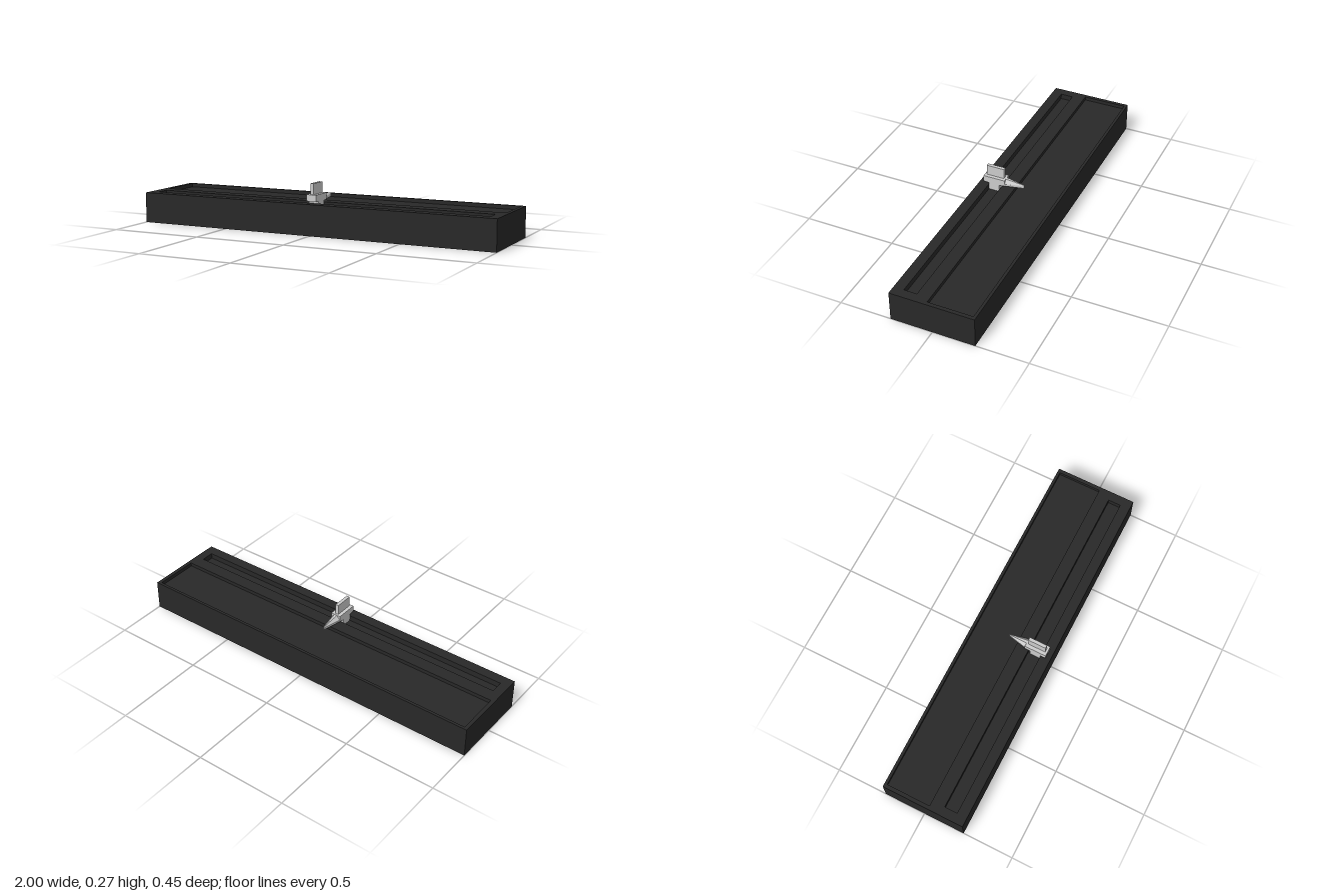
import * as THREE from 'three';

const H = 0.163, W = 2, D = 0.45;

// Box without its top face; inward = true turns it into a pocket
function openBox(x0, x1, y0, y1, z0, z1, inward) {
  const g = new THREE.BoxGeometry(x1 - x0, y1 - y0, z1 - z0);
  const idx = Array.from(g.index.array);
  idx.splice(12, 6);
  g.setIndex(inward ? idx.reverse() : idx);
  g.clearGroups();
  g.computeVertexNormals();
  g.translate((x0 + x1) / 2, (y0 + y1) / 2, (z0 + z1) / 2);
  return g;
}

function rectangle(PathType, x0, x1, z0, z1) {
  return new PathType([[x0, z0], [x1, z0], [x1, z1], [x0, z1]]
    .map(([x, z]) => new THREE.Vector2(x, -z)));
}

export function createModel() {
  const model = new THREE.Group();
  const dark = new THREE.MeshStandardMaterial({ color: 0x282828 });
  const grey = new THREE.MeshStandardMaterial({ color: 0xcccccc, flatShading: true });
  const add = (parent, name, geometry, material) => {
    const mesh = new THREE.Mesh(geometry, material);
    mesh.name = name;
    parent.add(mesh);
    return mesh;
  };

  // Housing: outer walls, rim and two sunken pockets
  const housing = new THREE.Group();
  housing.name = 'housing';
  model.add(housing);
  add(housing, 'housingWalls', openBox(-W / 2, W / 2, 0, H, -D / 2, D / 2, false), dark);

  const rim = rectangle(THREE.Shape, -W / 2, W / 2, -D / 2, D / 2);
  const pockets = [
    { name: 'displayRecess', x: 0.98, z0: -0.21, z1: 0.03, depth: 0.02 },
    { name: 'sliderSlot', x: 0.95, z0: 0.1, z1: 0.17, depth: 0.03 },
  ];
  for (const p of pockets) {
    rim.holes.push(rectangle(THREE.Path, -p.x, p.x, p.z0, p.z1));
    add(housing, p.name, openBox(-p.x, p.x, H - p.depth, H, p.z0, p.z1, true), dark);
  }
  add(housing, 'housingRim', new THREE.ShapeGeometry(rim).rotateX(-Math.PI / 2).translate(0, H, 0), dark);

  // Slider: body with a stem reaching into the slot, drawn as a side profile
  const slider = new THREE.Group();
  slider.name = 'slider';
  model.add(slider);
  const profile = new THREE.Shape([
    [0.2, 0.21], [0.2, 0.176], [0.17, 0.173], [0.168, 0.134], [0.112, 0.134],
    [0.11, 0.173], [0.08, 0.176], [0.08, 0.21],
  ].map(([z, y]) => new THREE.Vector2(-z, y)));
  const half = 0.028;
  const body = new THREE.ExtrudeGeometry(profile, { depth: 2 * half, bevelEnabled: false });
  add(slider, 'sliderBody', body.translate(0, 0, -half).rotateY(Math.PI / 2), grey);

  // Upright finger grip
  add(slider, 'grip', new THREE.BoxGeometry(0.018, 0.057, 0.098).translate(0, 0.2385, 0.14), grey);

  // Pointer: flat lower edge, ridged top, tapering to the back
  const pointer = new THREE.BoxGeometry(1, 2, 1, 1, 2, 1);
  const pos = pointer.attributes.position;
  for (let i = 0; i < pos.count; i++) {
    const side = Math.sign(pos.getX(i)), level = Math.round(pos.getY(i)) + 1;
    const base = pos.getZ(i) > 0;
    const width = base ? 0.026 : 0.003;
    const top = base ? 0.209 : 0.194;
    pos.setXYZ(i, side * (level === 2 ? width * 0.3 : width), [0.176, 0.187, top][level], base ? 0.08 : -0.022);
  }
  pointer.computeVertexNormals();
  add(slider, 'pointer', pointer, grey);

  return model;
}
